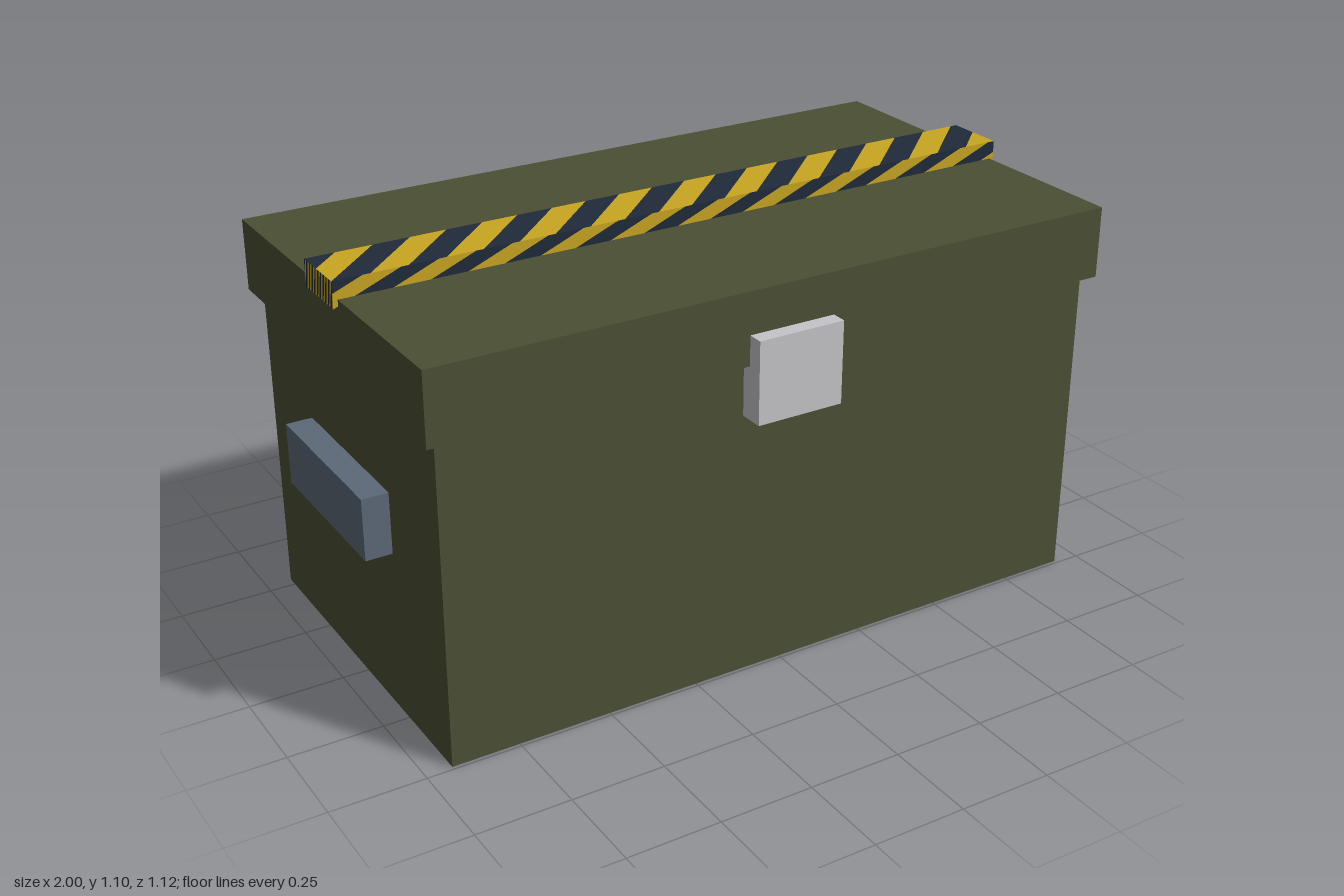
import * as THREE from 'three';

const mat = (name, color, extra = {}) => {
  const m = new THREE.MeshStandardMaterial({ color, ...extra });
  m.name = name;
  return m;
};

// Box given by its minimum and maximum corners
function box(name, material, min, max) {
  const size = max.map((v, i) => v - min[i]);
  const mesh = new THREE.Mesh(new THREE.BoxGeometry(...size), material);
  mesh.position.set(...min.map((v, i) => (v + max[i]) / 2));
  mesh.name = name;
  return mesh;
}

// Keep the part of a convex polygon where sign * (u - limit) >= 0
function clip(poly, limit, sign) {
  const out = [];
  poly.forEach((a, i) => {
    const b = poly[(i + 1) % poly.length];
    const da = sign * (a[0] - limit), db = sign * (b[0] - limit);
    if (da >= 0) out.push(a);
    if (da * db < 0) {
      const t = da / (da - db);
      out.push([limit, a[1] + (b[1] - a[1]) * t]);
    }
  });
  return out;
}

// Every second slanted band on all six faces of a box; parity picks the set
function bandGeometry(min, max, parity) {
  const [x0, y0, z0] = min, [x1, y1, z1] = max;
  const w = x1 - x0, h = y1 - y0, d = z1 - z0;
  // origin, u direction, v direction of each face
  const faces = [
    [[x0, y0, z1], [w, 0, 0], [0, h, 0]],
    [[x1, y0, z0], [-w, 0, 0], [0, h, 0]],
    [[x1, y0, z1], [0, 0, -d], [0, h, 0]],
    [[x0, y0, z0], [0, 0, d], [0, h, 0]],
    [[x0, y1, z1], [w, 0, 0], [0, 0, -d]],
    [[x0, y0, z0], [w, 0, 0], [0, 0, d]],
  ];
  const bands = 20, slant = 0.09, pos = [];
  for (let k = -2; k < bands; k++) {
    if (Math.abs(k % 2) !== parity) continue;
    const a = k / bands, b = (k + 1) / bands;
    const poly = clip(clip([[a, 0], [b, 0], [b + slant, 1], [a + slant, 1]], 0, 1), 1, -1);
    for (const [o, du, dv] of faces) {
      const at = ([u, v]) => o.map((c, i) => c + du[i] * u + dv[i] * v);
      for (let i = 1; i < poly.length - 1; i++) {
        pos.push(...at(poly[0]), ...at(poly[i]), ...at(poly[i + 1]));
      }
    }
  }
  const g = new THREE.BufferGeometry();
  g.setAttribute('position', new THREE.Float32BufferAttribute(pos, 3));
  g.computeVertexNormals();
  return g;
}

export function createModel() {
  const olive = mat('olive', 0x4b4f34);
  const steel = mat('steel blue', 0x5d6978);
  const silver = mat('silver', 0xc5c5c9);
  const yellow = mat('warning yellow', 0xc9a522);
  const navy = mat('dark navy', 0x1f2a3a);

  const group = new THREE.Group();
  group.name = 'storageCrate';

  // Body and overhanging lid
  group.add(box('body', olive, [-0.93, 0, -0.53], [0.93, 0.87, 0.49]));
  group.add(box('lid', olive, [-0.96, 0.86, -0.557], [0.96, 1.052, 0.516]));

  // Front latch
  group.add(box('latch', silver, [-0.12, 0.72, 0.47], [0.12, 0.94, 0.558]));

  // Side handles
  group.add(box('leftHandle', steel, [0.91, 0.445, -0.255], [1, 0.61, 0.213]));
  group.add(box('rightHandle', steel, [-1, 0.445, -0.255], [-0.91, 0.61, 0.213]));

  // Striped bar across the lid
  const bar = new THREE.Group();
  bar.name = 'warningBar';
  [navy, yellow].forEach((m, parity) => {
    const mesh = new THREE.Mesh(bandGeometry([-0.972, 1.03, -0.104], [0.972, 1.1, 0.061], parity), m);
    mesh.name = parity ? 'yellowBands' : 'darkBands';
    bar.add(mesh);
  });
  group.add(bar);
  return group;
}
